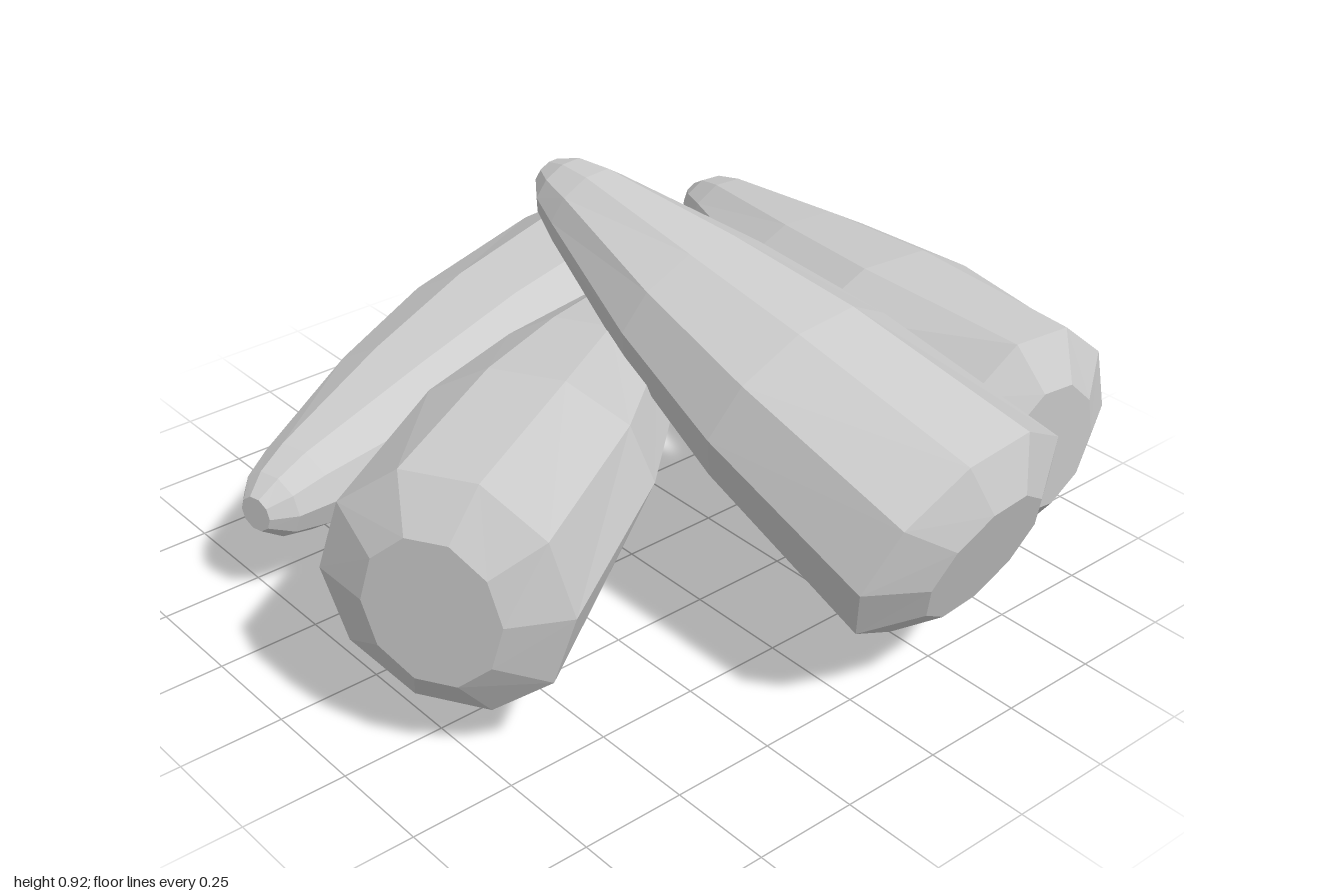
import * as THREE from 'three';

const SIDES = 10;
const material = new THREE.MeshStandardMaterial({ color: 0xcccccc, flatShading: true, roughness: 0.9 });

// One tapered root: base = centre of the wide shoulder ring, tip = centre of the thin end.
// wide / high are the shoulder's horizontal and vertical radii, bow shifts the belly sideways.
function makeRoot(name, base, tip, wide, high, bow) {
  const from = new THREE.Vector3(...base);
  const axis = new THREE.Vector3(...tip).sub(from);
  const length = axis.length();
  axis.normalize();

  // rows: position along the root, horizontal radius, vertical radius, share of the bow
  const rows = [
    [-0.057, 0, 0, 0],
    [-0.057, wide * 0.55, high * 0.62, 0],
    [0, wide, high, 0],
    [0.36, 0.29, 0.232, 1],
    [0.62, 0.225, 0.178, 0.8],
    [0.9, 0.116, 0.11, 0.2],
    [0.965, 0.088, 0.082, 0],
    [1.005, 0.044, 0.044, 0],
    [1.005, 0, 0, 0],
  ];
  const profile = rows.map(([t, w]) => new THREE.Vector2(w, t * length));
  const geometry = new THREE.LatheGeometry(profile, SIDES, Math.PI / 2);

  // lay the root along its axis with the wide direction level
  const side = new THREE.Vector3().crossVectors(axis, new THREE.Vector3(0, 1, 0)).normalize();
  const across = new THREE.Vector3().crossVectors(side, axis);
  const frame = new THREE.Matrix4().makeBasis(side, axis, across).setPosition(from);

  // flatten each ring into its own oval and bend the belly
  const pos = geometry.attributes.position;
  const bend = new THREE.Vector3(...bow);
  const v = new THREE.Vector3();
  for (let i = 0; i < pos.count; i++) {
    const [, w, h, share] = rows[i % rows.length];
    v.fromBufferAttribute(pos, i);
    if (w > 0) v.z *= h / w;
    v.applyMatrix4(frame).addScaledVector(bend, share);
    pos.setXYZ(i, v.x, v.y, v.z);
  }
  geometry.computeVertexNormals();

  const mesh = new THREE.Mesh(geometry, material);
  mesh.name = name;
  return mesh;
}

export function createModel() {
  const group = new THREE.Group();
  group.name = 'rootVegetablePile';
  group.add(
    makeRoot('topRoot', [0.175, 0.43, 0.87], [0.065, 0.865, -0.375], 0.325, 0.275, [-0.012, 0.012, 0]),
    makeRoot('leftRoot', [0.635, 0.405, 0.66], [0.785, 0.5, -0.65], 0.24, 0.28, [-0.04, 0.018, 0]),
    makeRoot('rightRoot', [-0.785, 0.43, 0.345], [0.35, 0.475, -0.335], 0.285, 0.3, [0, 0.025, 0]),
    makeRoot('backRoot', [0.47, 0.28, -0.675], [-0.81, 0.285, -0.36], 0.33, 0.288, [0, 0.018, -0.01]),
  );
  return group;
}
